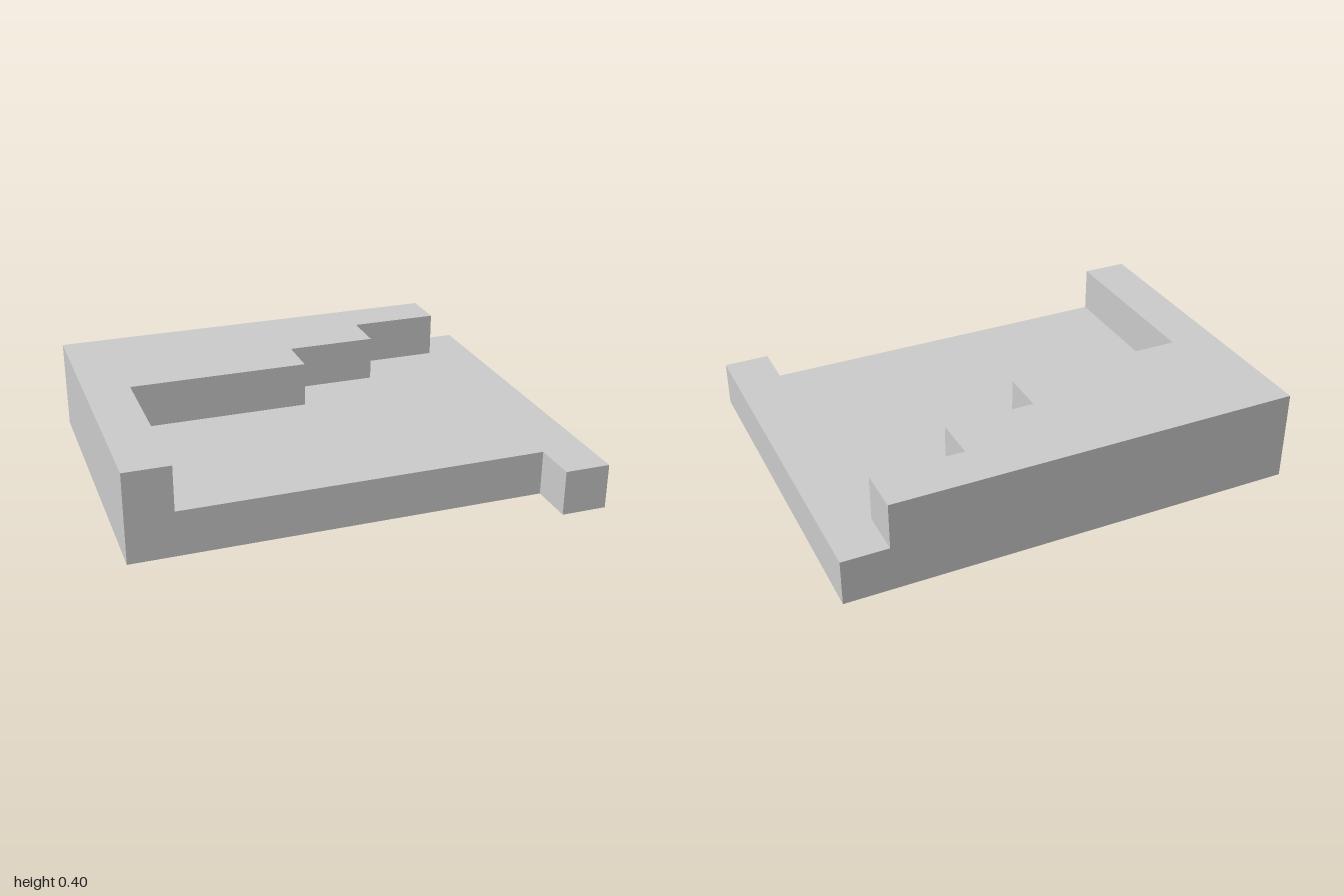
import * as THREE from 'three';

const TIER = 0.2; // height of each tier

// Extrude a plan outline of [x, z] corners upwards from height y
function slab(name, outline, y, material) {
  const shape = new THREE.Shape(outline.map(([x, z]) => new THREE.Vector2(x, -z)));
  const geometry = new THREE.ExtrudeGeometry(shape, { depth: TIER, bevelEnabled: false });
  geometry.rotateX(-Math.PI / 2);
  const mesh = new THREE.Mesh(geometry, material);
  mesh.name = name;
  mesh.position.y = y;
  return mesh;
}

export function createModel() {
  const group = new THREE.Group();
  group.name = 'steppedTerrace';
  const material = new THREE.MeshStandardMaterial({ color: 0xcccccc, flatShading: true });

  // Lower tier: floor with a small tab at the front left corner
  group.add(slab('baseFloor', [
    [-1, 0.6], [0.8, 0.6], [0.8, 0.8], [1, 0.8], [1, -0.8], [-1, -0.8],
  ], 0, material));

  // Upper tier: side wall and back ledge that narrows in steps
  group.add(slab('steppedLedge', [
    [-1, 0.6], [-0.8, 0.6], [-0.8, -0.2], [0, -0.2], [0, -0.4],
    [0.4, -0.4], [0.4, -0.6], [0.8, -0.6], [0.8, -0.8], [-1, -0.8],
  ], TIER, material));

  return group;
}
